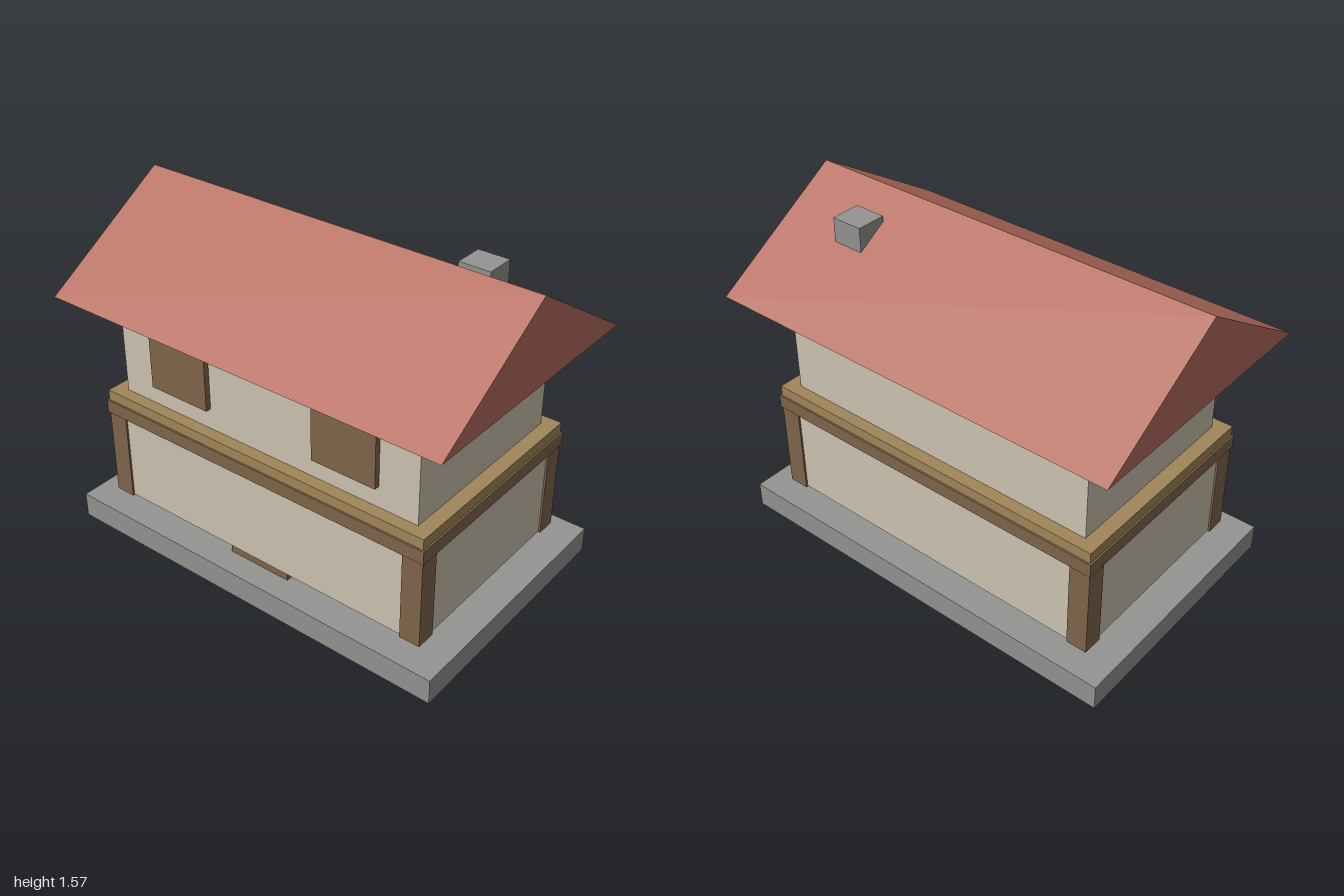
import * as THREE from 'three';

const mat = (name, color) => Object.assign(new THREE.MeshStandardMaterial({ color }), { name });

export function createModel() {
  const house = new THREE.Group();
  house.name = 'house';

  const stone = mat('stone grey', 0x949492);
  const plaster = mat('cream plaster', 0xcec5b2);
  const timber = mat('dark timber', 0x80664b);
  const plank = mat('light timber', 0xa28659);
  const tile = mat('roof red', 0xb56e5e);

  // Box given by its min and max on each axis
  function box(name, material, [x0, x1], [y0, y1], [z0, z1]) {
    const mesh = new THREE.Mesh(new THREE.BoxGeometry(x1 - x0, y1 - y0, z1 - z0), material);
    mesh.position.set((x0 + x1) / 2, (y0 + y1) / 2, (z0 + z1) / 2);
    mesh.name = name;
    house.add(mesh);
  }
  const sym = (h) => [-h, h];

  // Foundation and storeys
  box('foundation', stone, sym(0.985), [0, 0.12], sym(0.615));
  box('lowerWalls', plaster, sym(0.853), [0.16, 0.585], sym(0.507));
  box('beamBand', timber, sym(0.868), [0.583, 0.647], sym(0.523));
  box('floorSlab', plank, sym(0.86), [0.647, 0.697], sym(0.515));
  box('upperWalls', plaster, sym(0.793), [0.697, 1.157], sym(0.457));

  // Corner posts
  for (const sx of [-1, 1]) {
    for (const sz of [-1, 1]) {
      box('cornerPost', timber,
        [sx * 0.813 - 0.049, sx * 0.813 + 0.049], [0.155, 0.583],
        [sz * 0.469 - 0.047, sz * 0.469 + 0.047]);
    }
  }

  // Door, recessed so only its foot shows, and window shutters
  box('door', timber, sym(0.16), [0.12, 0.5], [0.445, 0.5]);
  for (const sx of [-1, 1]) {
    box('window', timber, [sx * 0.444 - 0.159, sx * 0.444 + 0.159], [0.797, 1.08], [0.457, 0.484]);
  }

  // Gabled roof prism, extruded along x
  const gable = new THREE.Shape([
    new THREE.Vector2(-0.64, 1.172),
    new THREE.Vector2(0.64, 1.172),
    new THREE.Vector2(0, 1.572),
  ]);
  const roofGeo = new THREE.ExtrudeGeometry(gable, { depth: 2, bevelEnabled: false });
  roofGeo.translate(0, 0, -1).rotateY(Math.PI / 2);
  const roof = new THREE.Mesh(roofGeo, tile);
  roof.name = 'roof';
  house.add(roof);

  // Chimney through the back slope
  box('chimney', stone, [0.53, 0.68], [1.13, 1.512], [-0.278, -0.137]);

  return house;
}
